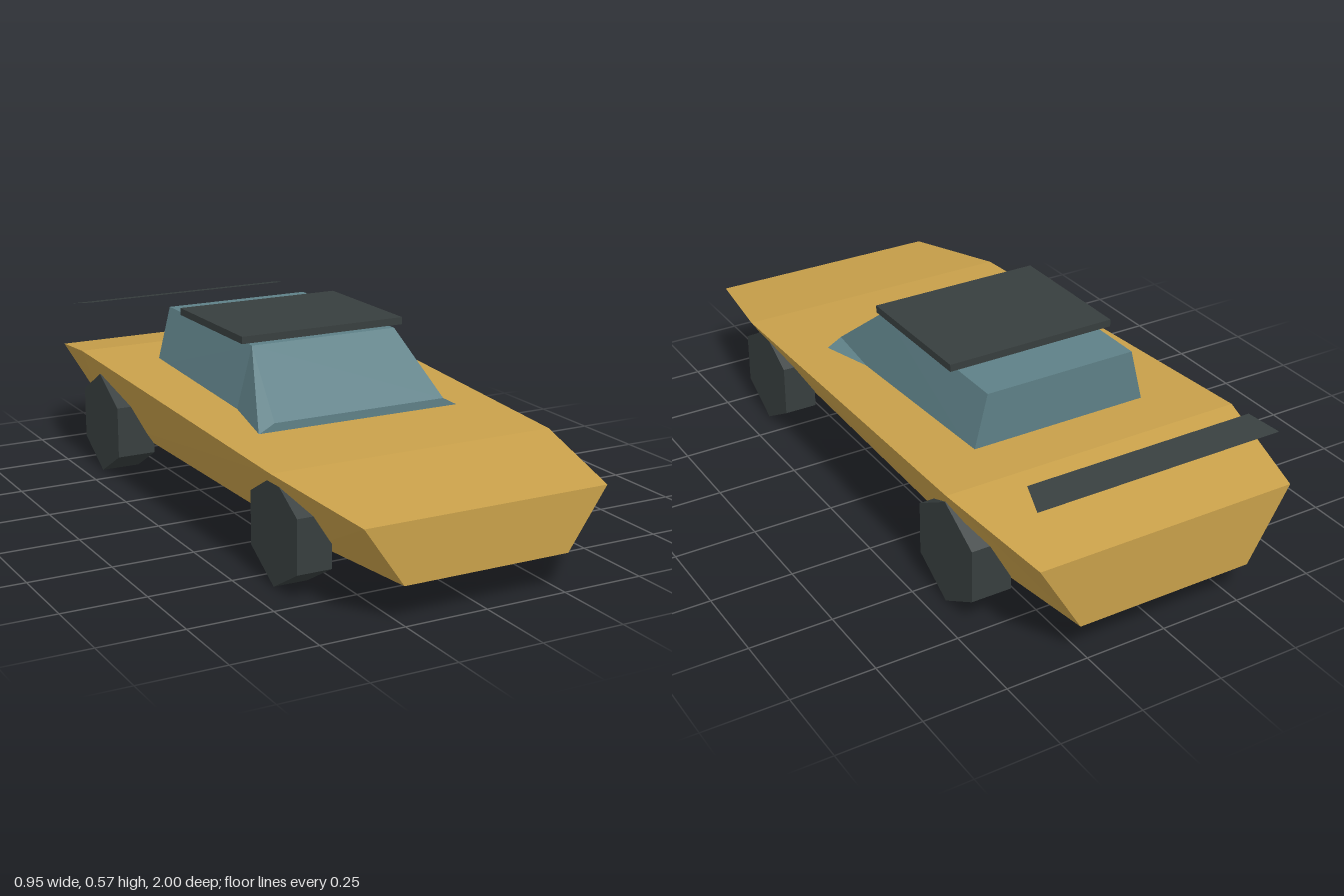
import * as THREE from 'three';

const bodyPaint = new THREE.MeshStandardMaterial({ color: 0xc8a04a });
bodyPaint.name = 'goldPaint';
const glass = new THREE.MeshStandardMaterial({ color: 0x5e8087 });
glass.name = 'tealGlass';
const trim = new THREE.MeshStandardMaterial({ color: 0x373e3e });
trim.name = 'charcoalTrim';
const sheet = new THREE.MeshStandardMaterial({ color: 0x373e3e, side: THREE.DoubleSide });
sheet.name = 'charcoalSheet';

// Flat-faced geometry from polygons, each a counter-clockwise list of [x, y, z]
function facets(polygons) {
  const pos = [];
  for (const p of polygons)
    for (let i = 1; i < p.length - 1; i++) pos.push(...p[0], ...p[i], ...p[i + 1]);
  const g = new THREE.BufferGeometry();
  g.setAttribute('position', new THREE.Float32BufferAttribute(pos, 3));
  g.computeVertexNormals();
  return g;
}

export function createModel() {
  const model = new THREE.Group();
  model.name = 'car';
  const add = (name, geometry, material, x = 0, y = 0, z = 0) => {
    const mesh = new THREE.Mesh(geometry, material);
    mesh.name = name;
    mesh.position.set(x, y, z);
    model.add(mesh);
  };

  // Wedge body: sections [z, top half width, top height], narrowing to a flat floor
  const rings = [
    [1, 0.375, 0.285], [0.63, 0.447, 0.335], [-0.65, 0.475, 0.39], [-1, 0.405, 0.33],
  ].map(([z, w, top]) => [
    [-w, top, z], [-w * 0.68, 0.112, z], [w * 0.68, 0.112, z], [w, top, z],
  ]);
  const hull = [rings[0], [...rings[3]].reverse()];
  for (let i = 0; i < 3; i++) {
    const a = rings[i], b = rings[i + 1];
    for (let j = 0; j < 4; j++) {
      const k = (j + 1) % 4;
      // Split both flanks from the front top to the rear bottom
      hull.push(j === 2 ? [a[k], a[j], b[j], b[k]] : [a[j], b[j], b[k], a[k]]);
    }
  }
  add('body', facets(hull), bodyPaint);

  // Cabin: corner points on the left (s = 1) and right (s = -1)
  const corners = (s) => ({
    roofFront: [0.24 * s, 0.545, 0.11],
    roofRear: [0.24 * s, 0.545, -0.475],
    baseRear: [0.287 * s, 0.36, -0.475],
    baseMid: [0.287 * s, 0.35, 0.1],
    cowl: [0.28 * s, 0.373, 0.33],
    tip: [0.33 * s, 0.346, 0.33],
  });
  const L = corners(1), R = corners(-1);
  add('cabin', facets([
    [R.roofFront, L.roofFront, L.roofRear, R.roofRear],
    [R.roofRear, L.roofRear, L.baseRear, R.baseRear],
    [L.roofFront, L.baseMid, L.baseRear, L.roofRear],
    [R.roofFront, R.roofRear, R.baseRear, R.baseMid],
    // windscreen and cowl
    [R.roofFront, R.cowl, L.cowl, L.roofFront],
    [R.roofFront, R.tip, R.cowl],
    [R.cowl, R.tip, L.tip, L.cowl],
    // front corners
    [L.roofFront, L.cowl, L.baseMid],
    [L.cowl, L.tip, L.baseMid],
    [R.roofFront, R.baseMid, R.tip],
  ]), glass);

  // Roof panel floating just above the cabin
  add('roofPanel', new THREE.BoxGeometry(0.54, 0.022, 0.432), trim, 0, 0.563, -0.109);

  // Rear wing: a single tilted sheet
  add('rearWing', facets([[
    [-0.388, 0.478, -0.955], [-0.358, 0.496, -0.86], [0.358, 0.496, -0.86], [0.388, 0.478, -0.955],
  ]]), sheet);

  // Hexagonal wheels, wider and larger at the rear
  for (const [name, r, width, z] of [['front', 0.157, 0.104, 0.595], ['rear', 0.162, 0.124, -0.585]]) {
    const wheel = new THREE.CylinderGeometry(r, r, width, 6).toNonIndexed();
    wheel.computeVertexNormals();
    wheel.rotateZ(Math.PI / 2).rotateX(Math.PI / 6);
    for (const s of [1, -1])
      add(name + (s > 0 ? 'Left' : 'Right') + 'Wheel', wheel, trim, s * (0.317 + width / 2), r, z);
  }
  return model;
}
